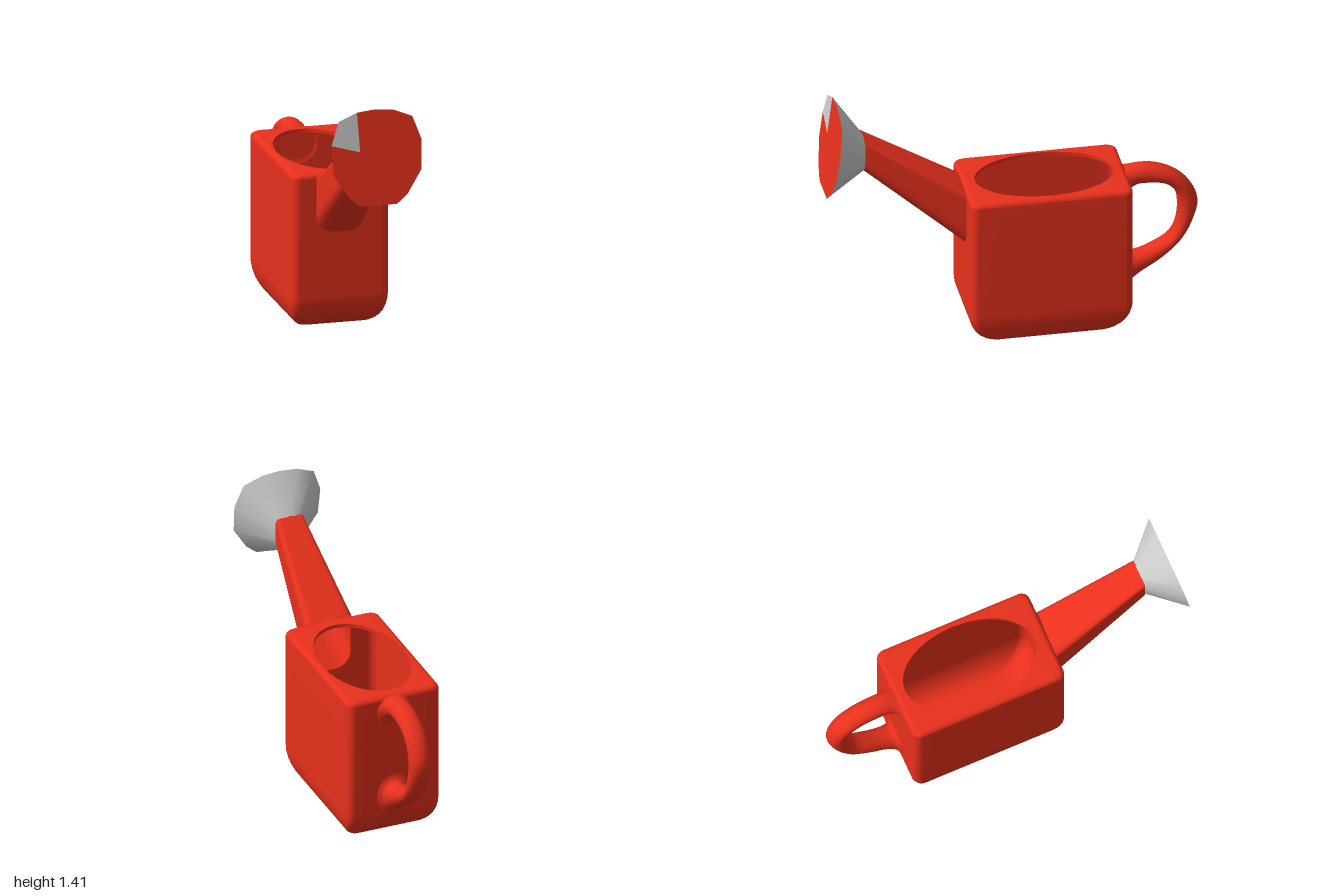
import * as THREE from 'three';

const red = new THREE.MeshStandardMaterial({ color: 0xe8301c, side: THREE.DoubleSide });
const grey = new THREE.MeshStandardMaterial({ color: 0xcccccc, side: THREE.DoubleSide });
const V = (x, y, z) => new THREE.Vector3(x, y, z);

// Skin closed rings of equal length; skip(i, j) leaves a quad out after normals are set
function loft(rings, skip = () => false) {
  const n = rings[0].length, all = [], kept = [];
  for (let i = 0; i < rings.length - 1; i++) {
    for (let j = 0; j < n; j++) {
      const a = i * n + j, b = i * n + (j + 1) % n, c = a + n, d = b + n;
      const quad = [a, c, b, b, c, d];
      all.push(...quad);
      if (!skip(i, j)) kept.push(...quad);
    }
  }
  const g = new THREE.BufferGeometry().setFromPoints(rings.flat());
  g.setIndex(all);
  g.computeVertexNormals();
  g.setIndex(kept);
  return g;
}

// Rounded rectangle: 7 points per corner arc plus 7 points along each side
function roundRect(hx, hy, rLow, rHigh = rLow) {
  const corners = [[1, 1], [-1, 1], [-1, -1], [1, -1]].map(([sx, sy], k) => {
    const r = sy > 0 ? rHigh : rLow;
    return Array.from({ length: 7 }, (_, i) => {
      const a = (k + i / 6) * Math.PI / 2;
      return new THREE.Vector2(sx * (hx - r) + r * Math.cos(a), sy * (hy - r) + r * Math.sin(a));
    });
  });
  return corners.flatMap((arc, k) => {
    const next = corners[(k + 1) % 4][0];
    const side = Array.from({ length: 7 }, (_, i) => arc[6].clone().lerp(next, (i + 1) / 8));
    return [...arc, ...side];
  });
}

export function createModel() {
  const model = new THREE.Group();
  const add = (name, geometry, material = red) => {
    const mesh = new THREE.Mesh(geometry, material);
    mesh.name = name;
    model.add(mesh);
  };

  // Body: hollow rounded box with an oval opening on top
  const HX = 0.265, HZ = 0.435, CZ = -0.175, TOP = 0.87;
  const bodyRing = (hx, hz, y) => roundRect(hx, hz, 0.045).map(p => V(p.x, y, CZ + p.y));
  const ovalRing = y => roundRect(HX, HZ, 0.045).map(p => {
    const a = Math.atan2(p.y / HZ, p.x / HX);
    return V(0.23 * Math.cos(a), y, CZ - 0.005 + 0.37 * Math.sin(a));
  });
  const rings = [bodyRing(0.16, 0.255, 0).map(() => V(0, 0, CZ))];
  for (let i = 0; i <= 8; i++) {
    const a = i / 8 * Math.PI / 2, s = 1 - Math.sin(a);
    rings.push(bodyRing(HX - 0.105 * s, HZ - 0.18 * s, 0.19 * (1 - Math.cos(a))));
  }
  for (let i = 0; i <= 4; i++) {
    const a = i / 4 * Math.PI / 2, s = 0.028 * (1 - Math.cos(a));
    rings.push(bodyRing(HX - s, HZ - s, TOP - 0.028 + 0.028 * Math.sin(a)));
  }
  rings.push(ovalRing(TOP));
  add('body', loft(rings, (i, j) => i === 9 && j >= 6 && j < 14));
  add('openingRim', loft([ovalRing(TOP), ovalRing(TOP - 0.02)]));

  // Front wall with the passage into the spout
  const w = HX - 0.045;
  const wall = new THREE.Shape([[-w, 0.19], [w, 0.19], [w, 0.842], [-w, 0.842]]
    .map(p => new THREE.Vector2(...p)));
  wall.holes.push(new THREE.Path(roundRect(0.12, 0.135, 0.09, 0.035)
    .map(p => p.add(new THREE.Vector2(0, 0.695)))));
  add('frontWall', new THREE.ShapeGeometry(wall).translate(0, 0, CZ + HZ));

  // Spout: tapering rounded section, tip first
  const spoutRing = (hx, hy, low, high, y, z) =>
    roundRect(hx, hy, low, high).map(p => V(p.x, y + p.y, z));
  add('spout', loft([
    spoutRing(0.08, 0.096, 0.06, 0.025, 1.112, 0.79),
    spoutRing(0.135, 0.1625, 0.1, 0.04, 0.7085, CZ + HZ),
  ]));

  // Sprinkler head: flaring cone closed by a tilted faceted plate
  const half = [[0.1, 1.4], [0.2, 1.36], [0.245, 1.235], [0.24, 1.08], [0.16, 0.955], [0.1, 0.905]];
  const outline = [[0, 1.41], ...half, ...half.map(([x, y]) => [-x, y]).reverse()];
  const plateZ = y => 0.93 + 0.07 * (1.41 - y) / 0.505;
  add('sprinklerCone', loft([
    outline.map(([x, y]) => V(x * 0.33, 1.115 + (y - 1.158) * 0.38, 0.788)),
    outline.map(([x, y]) => V(x, y, plateZ(y))),
  ]), grey);
  const plate = points => {
    const g = new THREE.ShapeGeometry(new THREE.Shape(points.map(p => new THREE.Vector2(...p))));
    const pos = g.attributes.position;
    for (let i = 0; i < pos.count; i++) pos.setZ(i, plateZ(pos.getY(i)));
    g.computeVertexNormals();
    return g;
  };
  const inner = [-0.09, 1.19];
  add('sprinklerPlate', plate([...outline.slice(0, 11), inner, outline[12]]));
  add('sprinklerPlateSector', plate([...outline.slice(10), inner]), grey);

  // Handle: oval sections between an outer and an inner curve
  // Each row: outer z, y; inner z, y; half width
  const sections = [
    [-0.605, 0.868, -0.605, 0.66, 0.11],
    [-0.63, 0.873, -0.625, 0.735, 0.075],
    [-0.68, 0.88, -0.67, 0.765, 0.062],
    [-0.76, 0.875, -0.74, 0.766, 0.06],
    [-0.87, 0.83, -0.82, 0.753, 0.06],
    [-0.957, 0.745, -0.875, 0.705, 0.06],
    [-0.998, 0.64, -0.89, 0.62, 0.06],
    [-0.97, 0.52, -0.88, 0.52, 0.06],
    [-0.9, 0.4, -0.845, 0.445, 0.06],
    [-0.79, 0.3, -0.755, 0.39, 0.06],
    [-0.69, 0.235, -0.665, 0.36, 0.062],
    [-0.635, 0.19, -0.622, 0.362, 0.075],
    [-0.605, 0.14, -0.605, 0.42, 0.11],
  ];
  // The half width rides along as x of the outer curve
  const outer = new THREE.CatmullRomCurve3(sections.map(s => V(s[4], s[1], s[0])));
  const inside = new THREE.CatmullRomCurve3(sections.map(s => V(0, s[3], s[2])));
  const handle = [];
  for (let i = 0; i <= 48; i++) {
    const o = outer.getPoint(i / 48), n = inside.getPoint(i / 48), width = o.x;
    o.x = 0;
    const mid = o.clone().add(n).multiplyScalar(0.5), reach = o.sub(mid);
    handle.push(Array.from({ length: 20 }, (_, j) => {
      const a = j / 20 * Math.PI * 2;
      return mid.clone().addScaledVector(reach, Math.cos(a)).add(V(-width * Math.sin(a), 0, 0));
    }));
  }
  add('handle', loft(handle));

  return model;
}
